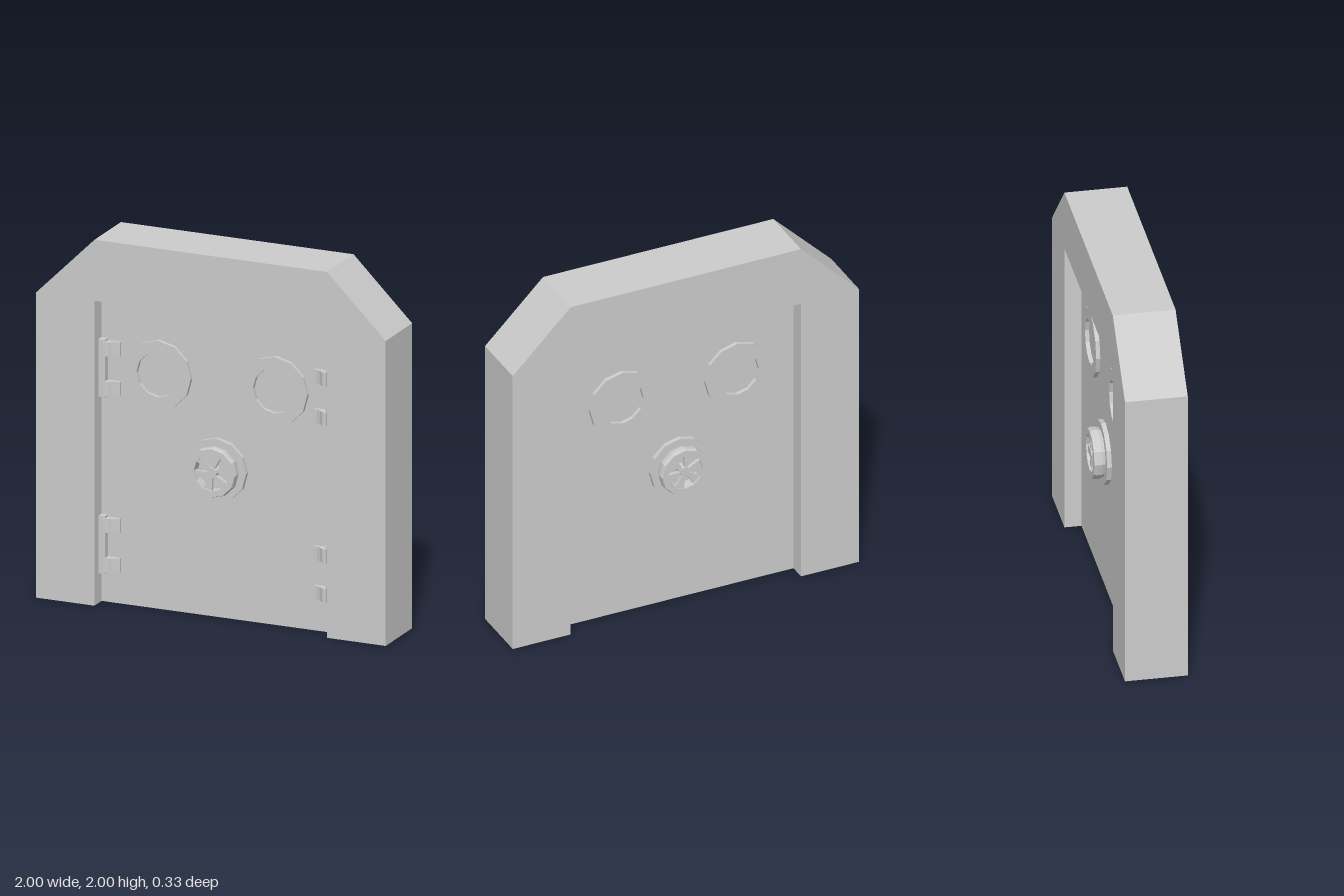
import * as THREE from 'three';

const grey = new THREE.MeshStandardMaterial({ color: 0xcccccc, flatShading: true });
const DOOR_Z = 0.076; // half thickness of the door leaf
const SIDES = 12;

function part(name, geometry, x = 0, y = 0, z = 0) {
  const mesh = new THREE.Mesh(geometry, grey);
  mesh.name = name;
  mesh.position.set(x, y, z);
  return mesh;
}

function polygon(points) {
  return new THREE.Shape(points.map(([x, y]) => new THREE.Vector2(x, y)));
}

// Solid of revolution about z from [radius, z] pairs
function turned(points) {
  const g = new THREE.LatheGeometry(points.map(([r, z]) => new THREE.Vector2(r, z)), SIDES);
  return g.rotateX(Math.PI / 2);
}

// Hand wheel on a round base, built outward from z = 0
function createWheel() {
  const wheel = new THREE.Group();
  wheel.name = 'handWheel';
  wheel.add(part('wheelBase', turned([[0.172, 0], [0.172, 0.025], [0, 0.025]])));
  wheel.add(part('wheelRim', turned([
    [0.13, 0.025], [0.137, 0.045], [0.137, 0.07], [0.132, 0.085], [0.1, 0.085], [0.1, 0.025],
  ])));
  wheel.add(part('wheelHub', turned([[0.027, 0.025], [0.027, 0.082], [0, 0.082]])));
  // Wedge-shaped spokes
  const a = Math.PI / 12, c = Math.cos(a), s = Math.sin(a);
  const wedge = polygon([[0.02 * c, -0.02 * s], [0.103 * c, -0.103 * s], [0.103 * c, 0.103 * s], [0.02 * c, 0.02 * s]]);
  const spoke = new THREE.ExtrudeGeometry(wedge, { depth: 0.02, bevelEnabled: false });
  for (let i = 0; i < 6; i++) {
    const mesh = part('wheelSpoke', spoke, 0, 0, 0.055);
    mesh.rotation.z = a + i * Math.PI / 3;
    wheel.add(mesh);
  }
  return wheel;
}

// Hinge on the right-hand jamb, with two curved straps reaching onto the door
function createHinge() {
  const hinge = new THREE.Group();
  hinge.name = 'hinge';
  hinge.add(part('hingePlate', new THREE.BoxGeometry(0.038, 0.315, 0.04), -0.648, 0, DOOR_Z + 0.02));
  const profile = polygon([
    [-0.64, 0], [-0.553, 0], [-0.553, 0.015], [-0.575, 0.018], [-0.595, 0.027],
    [-0.61, 0.042], [-0.625, 0.048], [-0.64, 0.048],
  ]);
  const strap = new THREE.ExtrudeGeometry(profile, { depth: 0.076, bevelEnabled: false });
  strap.rotateX(Math.PI / 2).translate(0, 0.038, 0);
  for (const y of [-0.108, 0.108]) hinge.add(part('hingeStrap', strap, 0, y, DOOR_Z));
  return hinge;
}

export function createModel() {
  const model = new THREE.Group();
  model.name = 'vaultDoor';

  // Surround with chamfered top corners and a door opening
  const outline = polygon([
    [-1, 0], [-0.665, 0], [-0.665, 1.667], [0.665, 1.667], [0.665, 0], [1, 0],
    [1, 1.667], [0.665, 2], [-0.665, 2], [-1, 1.667],
  ]);
  model.add(part('doorFrame',
    new THREE.ExtrudeGeometry(outline, { depth: 0.333, bevelEnabled: false }), 0, 0, -0.1665));
  model.add(part('doorLeaf', new THREE.BoxGeometry(1.33, 1.667, DOOR_Z * 2), 0, 0.8335, 0));

  // Portholes and wheel, repeated on both faces
  const porthole = turned([[0.187, 0], [0.187, 0.022], [0.123, 0.022], [0.123, 0]]);
  for (const turn of [0, Math.PI]) {
    const face = new THREE.Group();
    face.name = turn ? 'backFittings' : 'frontFittings';
    face.rotation.y = turn;
    for (const x of [-0.333, 0.333]) face.add(part('portholeRing', porthole, x, 1.285, DOOR_Z));
    const wheel = createWheel();
    wheel.position.set(0, 0.81, DOOR_Z);
    face.add(wheel);
    model.add(face);
  }

  // Two hinges on each side of the front; the far side is turned half a circle
  for (const y of [0.32, 1.285]) {
    for (const turn of [0, Math.PI]) {
      const hinge = createHinge();
      hinge.position.y = y;
      hinge.rotation.z = turn;
      model.add(hinge);
    }
  }
  return model;
}
